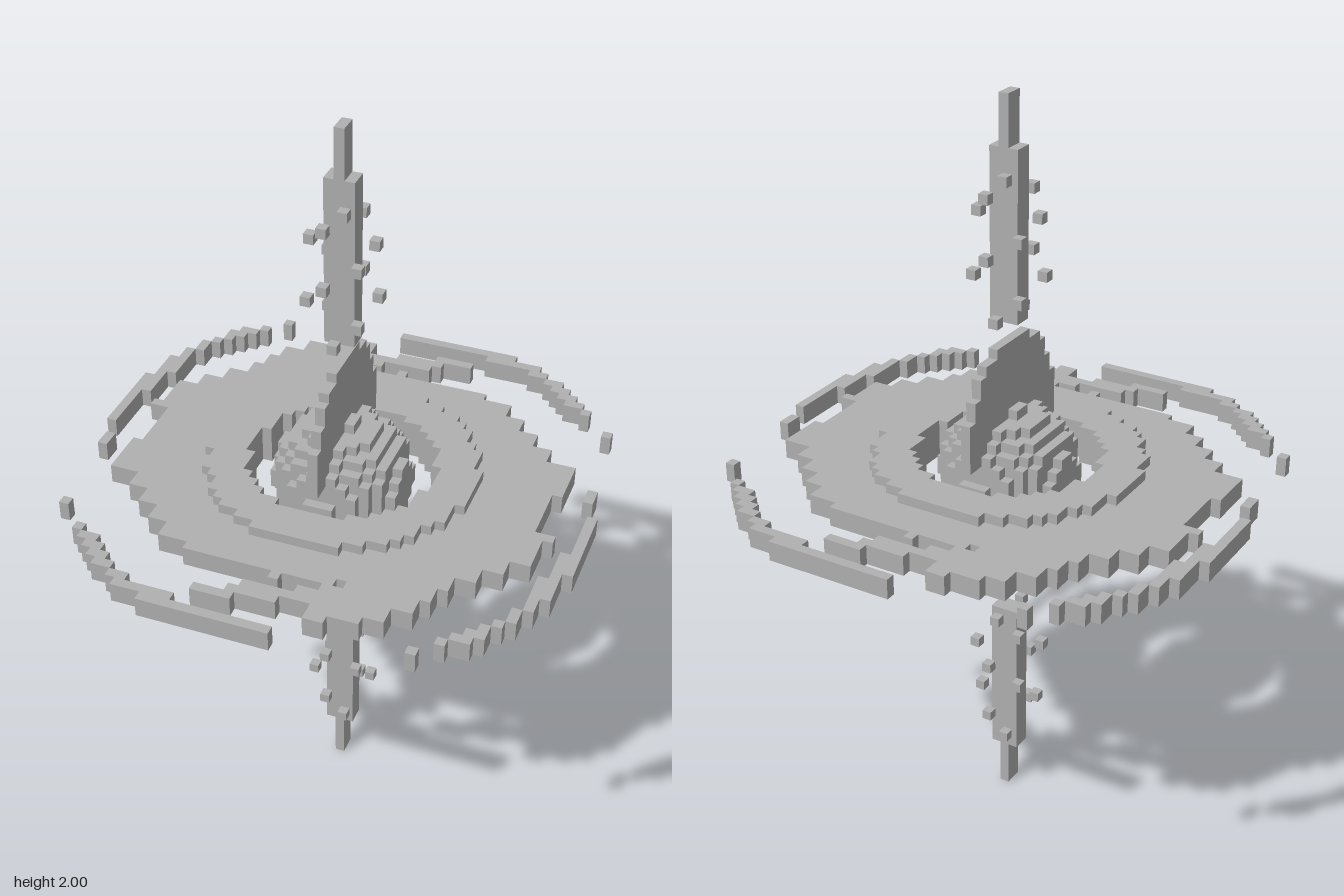
import * as THREE from 'three';
import { mergeGeometries } from 'three/addons/utils/BufferGeometryUtils.js';

const U = 2 / 76; // cell size: x cells are centred on 0, z and y cells start on 0
const MID = 1;    // height of the disc plane

// Box of cells x0..x1, rows y0..y1 (from the disc plane) and z0..z1, all inclusive
function cells(x0, x1, y0, y1, z0, z1) {
  const g = new THREE.BoxGeometry((x1 - x0 + 1) * U, (y1 - y0 + 1) * U, (z1 - z0 + 1) * U);
  return g.translate((x0 + x1) / 2 * U, MID + (y0 + y1 + 1) / 2 * U, (z0 + z1 + 1) / 2 * U);
}

// Largest cell offset inside a circle at the given squared distance from its middle
const reach = (r, d2) => (r * r < d2 ? -1 : Math.floor(Math.sqrt(r * r - d2)));

const HOLE = 9.2, RING = 13.3, CORE = 6.65;

// Back half of the flat disc: [row, first x, last x]
const DISC = [
  [-22, -6, -5], [-21, -9, -5], [-20, -11, -5], [-19, -11, -3], [-18, -13, -5],
  [-17, -13, -7], [-17, -5, 9], [-16, -14, 12], [-15, -14, 12], [-14, -15, 14],
  [-13, -15, 14], [-12, -17, 16], [-11, -17, 16], [-10, -19, 18], [-9, -19, 18],
  [-8, -21, 21], [-7, -21, 21], [-6, -21, 21], [-5, -21, 21], [-4, -22, 21],
  [-3, -20, 20], [-2, -20, 20], [-1, -20, 20],
];

// Back half of the loose spiral streaks
const STREAKS = [
  [-25, -2, 10], [-24, 8, 13], [-23, 13, 14], [-22, 15, 16], [-21, 16, 17],
  [-20, 17, 18], [-19, 18, 19], [-18, 20, 20], [-15, 23, 23], [-5, 24, 24], [-4, 24, 24],
  [-22, 3, 6], [-21, -1, 3], [-20, -4, 2], [-18, 0, 0], [-23, -15, -15],
  [-21, -17, -17], [-20, -19, -18], [-19, -20, -19], [-18, -20, -20], [-17, -21, -21],
  [-16, -22, -22], [-15, -22, -22], [-14, -23, -23], [-13, -23, -23], [-12, -24, -23],
  [-11, -24, -23], [-10, -24, -23], [-9, -24, -24], [-8, -25, -24], [-7, -25, -24],
  [-6, -25, -24], [-5, -25, -25], [-4, -25, -25], [-3, -25, -25], [-2, -25, -25],
  [-1, -25, -25],
];
const STREAK_END = [0, -25, -25];

// Upright halo: [first row, last row, half width in z]
const HALO = [
  [3, 7, 8], [8, 9, 7], [10, 11, 6], [12, 12, 5], [13, 13, 3],
  [-4, -4, 8], [-7, -5, 7], [-9, -8, 6], [-10, -10, 5], [-11, -11, 3],
];

// Sparks circling a jet: [row, x, z]; each has a twin on the opposite side
const SPARKS = [
  [30, 1, 2], [28, -1, 2], [26, -3, 0], [24, 2, 1],
  [22, -1, 2], [20, -3, 1], [18, 2, 1], [16, 0, 2],
];

// Run of cells plus its half-turn copy
function twin([z, x0, x1], y0, y1) {
  return [cells(x0, x1, y0, y1, z, z), cells(-x1, -x0, y0, y1, -1 - z, -1 - z)];
}

export function createModel() {
  const model = new THREE.Group();
  const stone = new THREE.MeshStandardMaterial({ color: 0xb0b0b0 });
  stone.name = 'grey';
  const add = (name, parts) => {
    const mesh = new THREE.Mesh(mergeGeometries(parts), stone);
    mesh.name = name;
    model.add(mesh);
  };

  // Flat disc, open around the core
  const disc = [];
  for (const [z, x0, x1] of DISC) {
    const h = reach(HOLE, (z + 0.5) ** 2);
    if (h < 0) disc.push(...twin([z, x0, x1], -1, 0));
    else disc.push(...twin([z, x0, -h - 1], -1, 0), ...twin([z, h + 1, x1], -1, 0));
  }
  add('disc', disc);

  // Thicker inner ring
  const ring = [];
  for (let z = -13; z < 0; z++) {
    const d2 = (z + 0.5) ** 2;
    const o = reach(RING, d2), h = reach(HOLE, d2);
    if (h < 0) ring.push(...twin([z, -o, o], -2, 1));
    else ring.push(...twin([z, -o, -h - 1], -2, 1), ...twin([z, h + 1, o], -2, 1));
  }
  add('innerRing', ring);

  // Spiral streaks around the disc
  add('spiralStreaks', [...STREAKS, STREAK_END].flatMap((run) => twin(run, -1, 0)));

  // Stepped ball in the middle
  const core = [];
  for (let y = -7; y < 7; y++) {
    for (let z = -7; z < 7; z++) {
      const w = reach(CORE, (y + 0.5) ** 2 + (z + 0.5) ** 2);
      if (w >= 0) core.push(cells(-w, w, y, y, z, z));
    }
  }
  add('core', core);

  // Thin upright halo above and below the core
  add('halo', HALO.map(([y0, y1, w]) => cells(0, 0, y0, y1, -w, w - 1)));

  // Jets with tips and sparks, mirrored up and down
  for (const up of [true, false]) {
    const span = (x, y0, y1, z0, z1) =>
      up ? cells(-x, x, y0, y1, z0, z1) : cells(-x, x, -1 - y1, -1 - y0, z0, z1);
    const side = up ? 'upper' : 'lower';
    add(side + 'Jet', [span(1, 16, 32, -1, 0), span(0, 33, 37, -1, 0)]);
    add(side + 'Sparks', SPARKS.flatMap(([y, x, z]) => {
      const row = up ? y : -1 - y;
      return twin([z, x, x], row, row);
    }));
  }
  return model;
}
